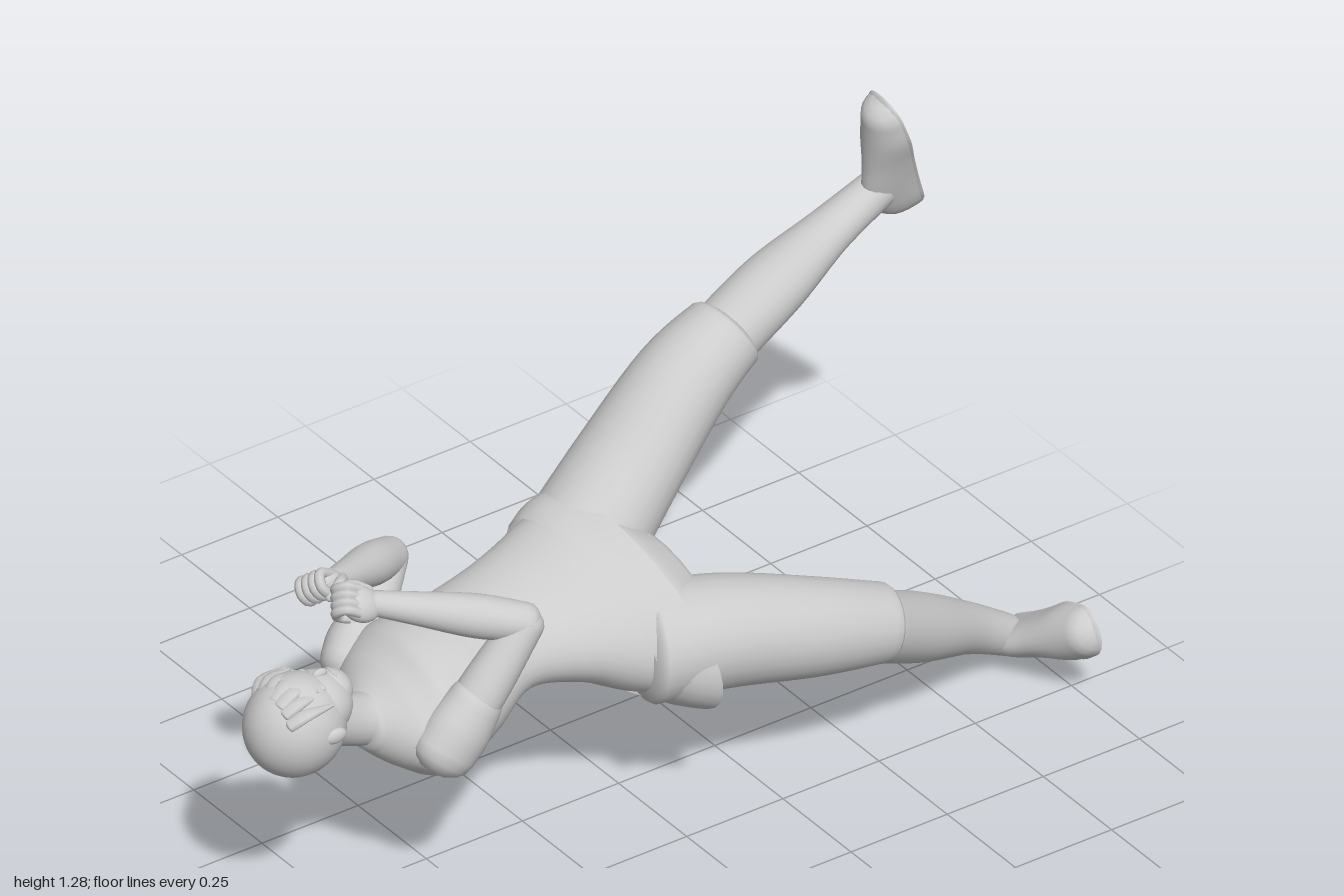
import * as THREE from 'three';
import { toCreasedNormals } from 'three/addons/utils/BufferGeometryUtils.js';

const material = new THREE.MeshStandardMaterial({ color: 0xcccccc, side: THREE.DoubleSide });
const V = (x, y, z) => new THREE.Vector3(x, y, z);

function add(parent, name, geometry) {
  const mesh = new THREE.Mesh(geometry, material);
  mesh.name = name;
  parent.add(mesh);
  return mesh;
}

function spline(rows, t) {
  const n = rows.length - 1, i = Math.min(Math.floor(t), n - 1), f = t - i;
  const [p, a, b, q] = [i - 1, i, i + 1, i + 2].map(k => rows[Math.max(0, Math.min(n, k))]);
  return a.map((v, k) => v + 0.5 * f * (b[k] - p[k]
    + f * (2 * p[k] - 5 * v + 4 * b[k] - q[k] + f * (3 * (v - b[k]) + q[k] - p[k]))));
}

// Smooth skin over stations [x, y, z, halfWidth, halfHeight, roll, yaw]; ends close with domes.
function loft(rows, { side = V(1, 0, 0), dome = 0.5, flat = false, sides = 24, steps = 6 } = {}) {
  const rings = [], last = (rows.length - 1) * steps;
  const point = r => V(r[0], r[1], r[2]);
  for (let i = 0; i <= last; i++) {
    const t = i / steps, r = spline(rows, t);
    const T = point(spline(rows, Math.min(t + 0.05, rows.length - 1)))
      .sub(point(spline(rows, Math.max(t - 0.05, 0)))).normalize();
    let u;
    if (r.length > 5) {
      const roll = THREE.MathUtils.degToRad(r[5]), yaw = THREE.MathUtils.degToRad(r[6]);
      u = V(Math.cos(roll) * Math.cos(yaw), Math.sin(roll), -Math.sin(yaw)).normalize();
    } else u = side.clone().addScaledVector(T, -side.dot(T)).normalize();
    rings.push({ c: point(r), T, u, v: T.clone().cross(u).normalize(), a: r[3], b: r[4] });
  }
  if (dome > 0) {
    const cap = (r, s) => [0.35, 0.65, 0.88, 1].map(k => {
      const w = Math.sqrt(1 - k * k);
      return { ...r, c: r.c.clone().addScaledVector(r.T, s * k * dome * r.b), a: r.a * w, b: r.b * w };
    });
    rings.unshift(...cap(rings[0], -1).reverse());
    rings.push(...cap(rings[rings.length - 1], 1));
  }
  const pos = [], index = [];
  rings.forEach((r, i) => {
    for (let j = 0; j < sides; j++) {
      const th = j / sides * Math.PI * 2, s = Math.sin(th);
      const p = r.c.clone().addScaledVector(r.u, r.a * Math.cos(th))
        .addScaledVector(r.v, r.b * (flat ? Math.max(0, s) : s));
      pos.push(p.x, p.y, p.z);
      if (i < rings.length - 1) {
        const k = i * sides + j, n = i * sides + (j + 1) % sides;
        index.push(k, n, k + sides, n, n + sides, k + sides);
      }
    }
  });
  const g = new THREE.BufferGeometry();
  g.setAttribute('position', new THREE.Float32BufferAttribute(pos, 3));
  g.setIndex(index);
  g.computeVertexNormals();
  return g;
}

const ball = (x, y, z, rx, ry, rz) =>
  new THREE.SphereGeometry(1, 28, 20).scale(rx, ry, rz).translate(x, y, z);

// Shoe with a flat sole, laid out from heel to toe
function shoe(parent, name, heel, forward, up) {
  const g = new THREE.Group();
  g.name = name;
  parent.add(g);
  const f = forward.normalize(), side = up.clone().cross(f).normalize();
  const along = rows => rows.map(([t, a, b]) => [...heel.clone().addScaledVector(f, t).toArray(), a, b]);
  const upper = along([[0.03, 0.04, 0.1], [0.09, 0.044, 0.115], [0.16, 0.052, 0.095],
    [0.23, 0.062, 0.075], [0.285, 0.056, 0.06]]);
  const sole = along([[0.02, 0.042, 0.02], [0.09, 0.046, 0.02], [0.16, 0.054, 0.02],
    [0.23, 0.065, 0.02], [0.285, 0.058, 0.02]]);
  add(g, 'shoeUpper', toCreasedNormals(loft(upper, { side, flat: true, dome: 0.75 }), 0.9));
  add(g, 'shoeSole', toCreasedNormals(loft(sole, { side, flat: true, dome: 2.5 }), 0.7));
}

// Closed fist: local z points away from the wrist, local y is the back of the hand
function fist(parent, name, centre, forward, back, mirror) {
  const g = new THREE.Group();
  g.name = name;
  const z = forward.normalize(), x = back.clone().cross(z).normalize();
  g.quaternion.setFromRotationMatrix(new THREE.Matrix4().makeBasis(x, z.clone().cross(x), z));
  g.position.copy(centre);
  add(g, 'palm', ball(0, 0, -0.012, 0.041, 0.03, 0.048));
  for (let i = 0; i < 4; i++) {
    const fx = (i - 1.5) * 0.018;
    const curl = new THREE.CatmullRomCurve3([V(fx, 0.014, 0), V(fx, 0.013, 0.034),
      V(fx, -0.014, 0.042), V(fx, -0.03, 0.022), V(fx, -0.024, 0)]);
    add(g, 'finger', new THREE.TubeGeometry(curl, 14, 0.012, 8));
  }
  const m = mirror;
  add(g, 'thumb', loft([[0.034 * m, 0, -0.03, 0.013, 0.013], [0.046 * m, -0.018, 0.003, 0.013, 0.013],
    [0.028 * m, -0.04, 0.024, 0.01, 0.01]], { side: V(0, 1, 0), dome: 1, sides: 10 }));
  parent.add(g);
}

function buildHead(parent) {
  const head = new THREE.Group();
  head.name = 'head';
  // Crown towards +z, face towards +y
  head.quaternion.setFromRotationMatrix(new THREE.Matrix4().makeBasis(V(-1, 0, 0), V(0, 0, 1), V(0, 1, 0)));
  head.position.set(0.06, 0.518, 0.885);
  add(head, 'hair', ball(0, 0, 0, 0.105, 0.115, 0.117));
  add(head, 'face', ball(0, -0.05, 0.03, 0.08, 0.085, 0.075));
  add(head, 'jaw', ball(0, -0.093, 0.052, 0.05, 0.047, 0.047));
  add(head, 'nose', ball(0, -0.065, 0.103, 0.009, 0.018, 0.012));
  add(head, 'mouth', ball(0, -0.096, 0.096, 0.02, 0.005, 0.006));
  for (const s of [-1, 1]) {
    add(head, 'ear', ball(0.097 * s, -0.037, 0.008, 0.012, 0.028, 0.018));
    add(head, 'eye', ball(0.031 * s, -0.045, 0.095, 0.016, 0.008, 0.007));
    add(head, 'brow', ball(0.032 * s, -0.025, 0.1, 0.022, 0.005, 0.006));
  }
  // Swept locks lying close along the hairline
  for (let i = 0; i < 7; i++) {
    const x = (i - 3) * 0.026, w = 0.106 - x * x * 5;
    add(head, 'fringeLock', loft([[x * 0.7 - 0.01, 0.06, w - 0.02, 0.02, 0.012],
      [x, 0.025, w, 0.021, 0.01], [x * 1.12 + 0.012, -0.015 - Math.abs(x) * 0.4, w - 0.005, 0.004, 0.004]],
      { sides: 10, steps: 4 }));
  }
  parent.add(head);
}

export function createModel() {
  const model = new THREE.Group();
  model.name = 'figure';

  // Torso twists from hips to shoulders
  add(model, 'torso', loft([
    [0.03, 0.48, 0.0, 0.265, 0.145, -30, 11], [0.01, 0.49, 0.1, 0.23, 0.135, -27, 9],
    [0.0, 0.503, 0.2, 0.185, 0.11, -22, 6], [-0.004, 0.5, 0.33, 0.155, 0.1, -16, 3],
    [0.015, 0.463, 0.45, 0.18, 0.135, -11, 0], [0.03, 0.44, 0.56, 0.205, 0.14, -9, 0],
    [0.04, 0.44, 0.64, 0.165, 0.1, -7, 0], [0.045, 0.447, 0.7, 0.078, 0.062, -5, 0]],
    { sides: 36, dome: 0.3 }));
  add(model, 'neck', loft([[0.045, 0.44, 0.64, 0.068, 0.062], [0.05, 0.465, 0.73, 0.057, 0.057],
    [0.058, 0.515, 0.83, 0.06, 0.06]]));
  buildHead(model);

  // Shorts: flared waistband, seat and two legs
  add(model, 'waistband', loft([[0.012, 0.487, 0.1, 0.242, 0.143, -28, 11],
    [0.022, 0.483, 0.045, 0.278, 0.152, -30, 11], [0.03, 0.477, -0.01, 0.298, 0.158, -31, 11]],
    { sides: 36, dome: 0 }));
  add(model, 'seat', loft([[0.03, 0.48, -0.09, 0.17, 0.11, -30, 11], [0.03, 0.48, -0.02, 0.265, 0.145, -30, 11],
    [0.02, 0.485, 0.05, 0.25, 0.14, -29, 11]], { dome: 0.3 }));
  add(model, 'leftShortLeg', loft([[0.13, 0.43, 0.02, 0.135, 0.132], [0.17, 0.418, -0.15, 0.125, 0.123],
    [0.22, 0.378, -0.35, 0.106, 0.108], [0.242, 0.338, -0.515, 0.089, 0.086]], { dome: 0.25 }));
  add(model, 'rightShortLeg', loft([[-0.11, 0.555, 0.02, 0.135, 0.13], [-0.15, 0.675, -0.13, 0.127, 0.115],
    [-0.178, 0.812, -0.29, 0.11, 0.105], [-0.195, 0.878, -0.415, 0.093, 0.089]], { dome: 0.25 }));

  // Lower legs and shoes
  add(model, 'leftShin', loft([[0.24, 0.335, -0.49, 0.077, 0.078], [0.168, 0.23, -0.66, 0.08, 0.075],
    [0.12, 0.14, -0.82, 0.058, 0.056], [0.11, 0.075, -0.93, 0.044, 0.046]]));
  add(model, 'rightShin', loft([[-0.195, 0.865, -0.4, 0.078, 0.077], [-0.253, 0.905, -0.58, 0.079, 0.07],
    [-0.29, 0.955, -0.75, 0.057, 0.05], [-0.3, 1.01, -0.89, 0.043, 0.045]]));
  shoe(model, 'leftShoe', V(0.062, 0.03, -1), V(0.86, 0.48, 0), V(0, 0, 1));
  shoe(model, 'rightShoe', V(-0.305, 0.972, -0.982), V(0.18, 0.91, 0.36), V(0, -0.36, 0.93));

  // Arms raised in a guard
  const arms = [
    ['left', V(0.197, 0.42, 0.585), V(0.208, 0.668, 0.39), V(0.055, 0.73, 0.65), V(0.036, 0.745, 0.708), 1],
    ['right', V(-0.145, 0.455, 0.59), V(-0.25, 0.6, 0.42), V(-0.115, 0.7, 0.65), V(-0.092, 0.725, 0.708), -1]];
  for (const [label, shoulder, elbow, wrist, hand, s] of arms) {
    const between = (a, b, t, ra, rb = ra) => [...a.clone().lerp(b, t).toArray(), ra, rb];
    add(model, label + 'Sleeve', loft([between(shoulder, elbow, -0.04, 0.063, 0.075),
      between(shoulder, elbow, 0.15, 0.066, 0.075), between(shoulder, elbow, 0.36, 0.058, 0.063)], { dome: 0.7 }));
    add(model, label + 'UpperArm', loft([between(shoulder, elbow, 0.1, 0.055), between(shoulder, elbow, 0.5, 0.054),
      between(shoulder, elbow, 1, 0.043)], { dome: 0.8 }));
    add(model, label + 'Forearm', loft([between(elbow, wrist, 0, 0.043), between(elbow, wrist, 0.35, 0.048),
      between(elbow, wrist, 0.75, 0.037), between(elbow, wrist, 1.06, 0.028)], { dome: 0.8 }));
    fist(model, label + 'Hand', hand, V(-0.2 * s, 0.4, 0.8), V(0.7 * s, 0.5, -0.4), -s);
  }
  return model;
}
